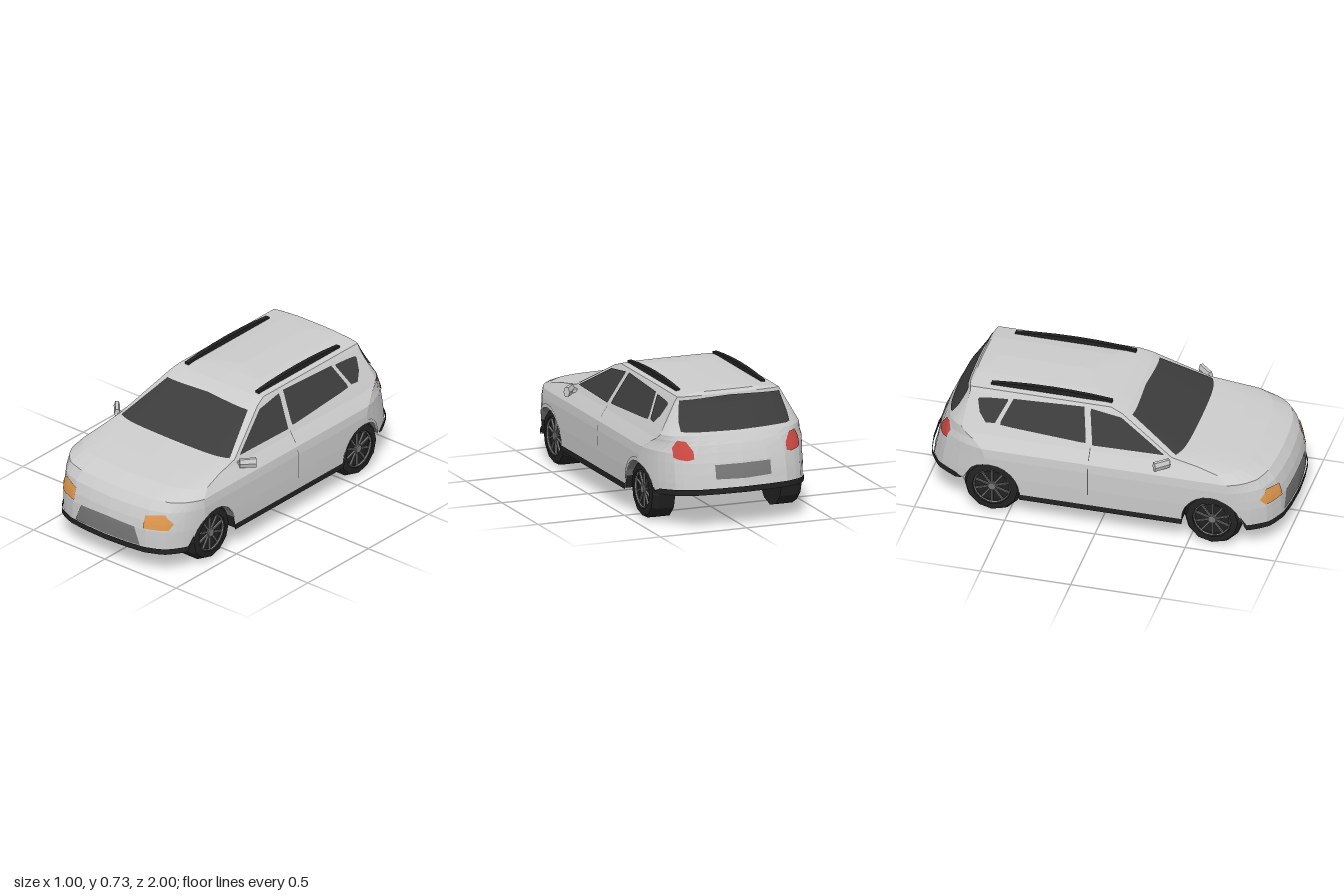
import * as THREE from 'three';

const mat = (color) => new THREE.MeshStandardMaterial({ color, flatShading: true, side: THREE.DoubleSide });
const PAINT = mat(0xcccccc), GLASS = mat(0x3c3c3c), BLACK = mat(0x222222), GREY = mat(0x777777);
const ORANGE = mat(0xe0994f), RED = mat(0xd04a44), SEAM = mat(0x555555);

// Body levels: height, half width, front z, rear z, front corner depth, rear corner depth
const LEVELS = [
  [0.13, 0.46, 0.99, -0.988, 0.27, 0.368],
  [0.2, 0.463, 0.988, -0.985, 0.268, 0.365],
  [0.25, 0.465, 0.985, -0.975, 0.265, 0.355],
  [0.3, 0.465, 0.974, -0.965, 0.254, 0.345],
  [0.36, 0.465, 0.952, -0.95, 0.232, 0.33],
  [0.41, 0.46, 0.912, -0.932, 0.192, 0.29],
  [0.45, 0.433, 0.8, -0.915, 0.14, 0.22],
  [0.475, 0.415, 0.645, -0.9, 0.1, 0.16],
  [0.5, 0.402, 0.455, -0.885, 0.055, 0.12],
  [0.67, 0.308, 0.125, -0.77, 0.025, 0.028],
  [0.692, 0.294, 0.06, -0.765, 0.025, 0.02],
  [0.708, 0.17, -0.06, -0.75, 0.02, 0.01],
  [0.715, 0, -0.15, -0.66, 0, 0],
];
// Plan curve of the rounded ends: fraction of half width, fraction of corner depth
const END = [[0, 0], [0.3, 0.025], [0.55, 0.08], [0.7, 0.19], [0.78, 0.27], [0.85, 0.42], [0.9, 0.55],
  [0.93, 0.655], [0.96, 0.78], [0.98, 0.89], [1, 1]];
const END_INVERSE = END.map(([x, d]) => [d, x]);
const SIDE_Z = [0.68, 0.63, 0.58, 0.53, 0.49, 0.475, 0.465, 0.2, 0, -0.2, -0.425, -0.435, -0.45, -0.49, -0.54, -0.59];
const WHEELS = [0.63, -0.59], HUB_Y = 0.16, ARCH = 0.16;

// Linear lookup in a table sorted by its first column
function lookup(table, v) {
  let i = 1;
  while (i < table.length - 1 && table[i][0] < v) i++;
  const a = table[i - 1], b = table[i];
  const t = THREE.MathUtils.clamp((v - a[0]) / (b[0] - a[0]), 0, 1);
  return a.map((n, k) => n + (b[k] - n) * t);
}

// Height of the lower body edge, rising over wheels and towards the tail
const inArch = (z) => WHEELS.some((c) => Math.abs(z - c) < ARCH);
function floorY(z) {
  for (const c of WHEELS) {
    if (Math.abs(z - c) < ARCH) return HUB_Y + Math.sqrt(ARCH ** 2 - (z - c) ** 2);
  }
  return z < -0.74 ? 0.18 + (-0.74 - z) * 0.1 : 0.13;
}

// Half outline of one level, from the nose along the left side to the tail
function halfOutline([y, w, f, r, cf, cr]) {
  const zf = f - cf, zr = r + cr;
  const pts = END.map(([x, d]) => [w * x, f - cf * d]);
  SIDE_Z.forEach((z) => pts.push([w, zr + (zf - zr) * (z + 0.62) / 1.34]));
  [...END].reverse().forEach(([x, d]) => pts.push([w * x, r + cr * d]));
  return pts.map(([x, z]) => new THREE.Vector3(x, Math.max(y, floorY(z)), z));
}
const mirrored = (p) => new THREE.Vector3(-p.x, p.y, p.z);
const fullRing = (half) => [...half, ...half.slice(0, -1).reverse().map(mirrored)];

// Surface through rows of points
function grid(rows) {
  const n = rows[0].length, index = [];
  for (let j = 0; j < rows.length - 1; j++) {
    for (let i = 0; i < n - 1; i++) {
      const a = j * n + i, b = a + n;
      index.push(a, a + 1, b + 1, a, b + 1, b);
    }
  }
  const g = new THREE.BufferGeometry().setFromPoints(rows.flat());
  g.setIndex(index);
  g.computeVertexNormals();
  return g;
}

// Point just outside the body at a front/rear position (x, y) or side position (z, y)
function onBody(face, u, y, off) {
  const [, w, f, r, cf, cr] = lookup(LEVELS, y);
  if (face === 'left' || face === 'right') {
    const d = u > f - cf ? (f - u) / cf : u < r + cr ? (u - r) / cr : 1;
    const x = w * lookup(END_INVERSE, d)[1] + off;
    return new THREE.Vector3(face === 'left' ? x : -x, y, u);
  }
  const d = lookup(END, Math.abs(u) / w)[1];
  return new THREE.Vector3(u, y, face === 'front' ? f - cf * d + off : r + cr * d - off);
}

// Panel lying on the body, given as columns of [position, bottom, top]
function panel(face, columns, off = 0.007, sub = 6) {
  const cols = [columns[0]];
  for (let i = 1; i < columns.length; i++) {
    for (let k = 1; k <= sub; k++) {
      cols.push(columns[i].map((v, c) => columns[i - 1][c] + (v - columns[i - 1][c]) * k / sub));
    }
  }
  const rows = [];
  for (let j = 0; j <= 5; j++) rows.push(cols.map(([u, lo, hi]) => onBody(face, u, lo + (hi - lo) * j / 5, off)));
  return grid(rows);
}

function makeWheel() {
  const wheel = new THREE.Group();
  const add = (name, geo, m, y) => {
    const mesh = new THREE.Mesh(geo, m);
    mesh.name = name;
    mesh.position.y = y;
    wheel.add(mesh);
    return mesh;
  };
  const profile = [[0, -0.065], [0.16, -0.065], [0.16, 0.03], [0.144, 0.06], [0.108, 0.065], [0.102, 0.042], [0, 0.042]];
  add('tyre', new THREE.LatheGeometry(profile.map(([r, y]) => new THREE.Vector2(r, y)), 12), BLACK, 0);
  add('rim', new THREE.TorusGeometry(0.1, 0.005, 4, 24).rotateX(Math.PI / 2), GREY, 0.055);
  add('hub', new THREE.CylinderGeometry(0.022, 0.026, 0.016, 10), GREY, 0.054);
  for (let i = 0; i < 10; i++) {
    const spoke = new THREE.BoxGeometry(0.085, 0.01, 0.008).translate(0.058, 0, 0);
    add('spoke', spoke, GREY, 0.05).rotation.y = i * Math.PI / 5;
  }
  return wheel;
}

export function createModel() {
  const car = new THREE.Group();
  car.name = 'car';
  const add = (name, geo, m) => {
    const mesh = new THREE.Mesh(geo, m);
    mesh.name = name;
    car.add(mesh);
    return mesh;
  };

  // Painted shell
  const halves = LEVELS.map(halfOutline);
  add('bodyShell', grid(halves.map(fullRing)), PAINT);

  // Underside: black floor pans, grey wheel wells
  const base = halves[0];
  for (let i = 0; i < base.length - 1; i++) {
    const well = inArch(base[i].z) && inArch(base[i + 1].z);
    const strip = grid([[base[i], mirrored(base[i])], [base[i + 1], mirrored(base[i + 1])]]);
    add(well ? 'wheelWell' : 'floorPan', strip, well ? GREY : BLACK);
  }

  // Black trim along the bottom edge, closed up over the wheels
  const trim = [-0.006, 0.026].map((dy) => fullRing(base.map((p) =>
    new THREE.Vector3(p.x * 1.012, p.y + (inArch(p.z) ? 0 : dy), p.z * 1.011))));
  add('lowerTrim', grid(trim), BLACK);

  // Front and rear panels
  add('windshield', panel('front', [[-0.378, 0.505, 0.508], [-0.282, 0.505, 0.655], [0, 0.505, 0.664],
    [0.282, 0.505, 0.655], [0.378, 0.505, 0.508]], 0.01), GLASS);
  add('rearWindow', panel('rear', [[-0.315, 0.525, 0.57], [-0.29, 0.52, 0.675], [0, 0.515, 0.685],
    [0.29, 0.52, 0.675], [0.315, 0.525, 0.57]], 0.008), GLASS);
  add('grille', panel('front', [[-0.225, 0.155, 0.156], [-0.185, 0.155, 0.255], [0, 0.155, 0.262],
    [0.185, 0.155, 0.255], [0.225, 0.155, 0.156]], 0.005), GREY);
  add('rearPlate', panel('rear', [[-0.16, 0.275, 0.35], [0, 0.27, 0.35], [0.16, 0.275, 0.35]], 0.005), GREY);

  for (const s of [1, -1]) {
    const side = s > 0 ? 'left' : 'right';
    const flip = (cols) => cols.map(([u, a, b]) => [u * s, a, b]);

    // Lamps
    add('headlight', panel('front', flip([[0.242, 0.262, 0.332], [0.345, 0.263, 0.35], [0.37, 0.265, 0.322],
      [0.386, 0.298, 0.302]])), ORANGE);
    add('tailLight', panel('rear', flip([[0.268, 0.385, 0.425], [0.3, 0.375, 0.475], [0.34, 0.38, 0.48],
      [0.365, 0.39, 0.44]])), RED);

    // Side windows
    add('frontSideWindow', panel(side, [[0.355, 0.508, 0.511], [0.1, 0.505, 0.653], [-0.04, 0.503, 0.67],
      [-0.072, 0.655, 0.674]], 0.005), GLASS);
    add('rearSideWindow', panel(side, [[-0.08, 0.51, 0.53], [-0.11, 0.51, 0.678], [-0.5, 0.53, 0.665],
      [-0.555, 0.535, 0.55]], 0.005), GLASS);
    add('quarterWindow', panel(side, [[-0.53, 0.65, 0.66], [-0.585, 0.54, 0.657], [-0.635, 0.535, 0.654],
      [-0.675, 0.58, 0.65], [-0.692, 0.635, 0.645]], 0.005), GLASS);

    // Door seam
    add('doorSeam', panel(side, [[-0.048, 0.22, 0.49], [-0.052, 0.22, 0.49]], 0.002, 1), SEAM);

    // Wheels with arch flares
    for (const z of WHEELS) {
      const wheel = makeWheel();
      wheel.name = z > 0 ? 'frontWheel' : 'rearWheel';
      wheel.position.set(s * 0.373, HUB_Y, z);
      wheel.rotation.z = -s * Math.PI / 2;
      car.add(wheel);
      const flare = [];
      for (let i = 0; i <= 12; i++) {
        const a = Math.PI * i / 12, y = HUB_Y + ARCH * Math.sin(a);
        flare.push([z + ARCH * Math.cos(a), y, y + 0.022]);
      }
      add('archFlare', panel(side, flare, 0.004, 1), PAINT);
    }

    // Door mirror
    const mirror = add('mirror', new THREE.CylinderGeometry(0.032, 0.029, 0.09, 6).rotateZ(-Math.PI / 2)
      .scale(1, 0.95, 0.55), PAINT);
    mirror.position.set(s * 0.459, 0.482, 0.358);
    mirror.rotation.y = s > 0 ? 0.85 : Math.PI - 0.85;
    const arm = add('mirrorArm', new THREE.BoxGeometry(0.05, 0.02, 0.03), PAINT);
    arm.position.set(s * 0.42, 0.475, 0.375);

    // Roof rail, bent with the roof
    const rail = new THREE.BoxGeometry(0.024, 0.034, 0.67, 1, 1, 6);
    const pos = rail.attributes.position;
    for (let i = 0; i < pos.count; i++) pos.setY(i, pos.getY(i) - 0.018 * (pos.getZ(i) / 0.335) ** 2);
    add('roofRail', rail, BLACK).position.set(s * 0.247, 0.709, -0.305);
  }
  return car;
}
